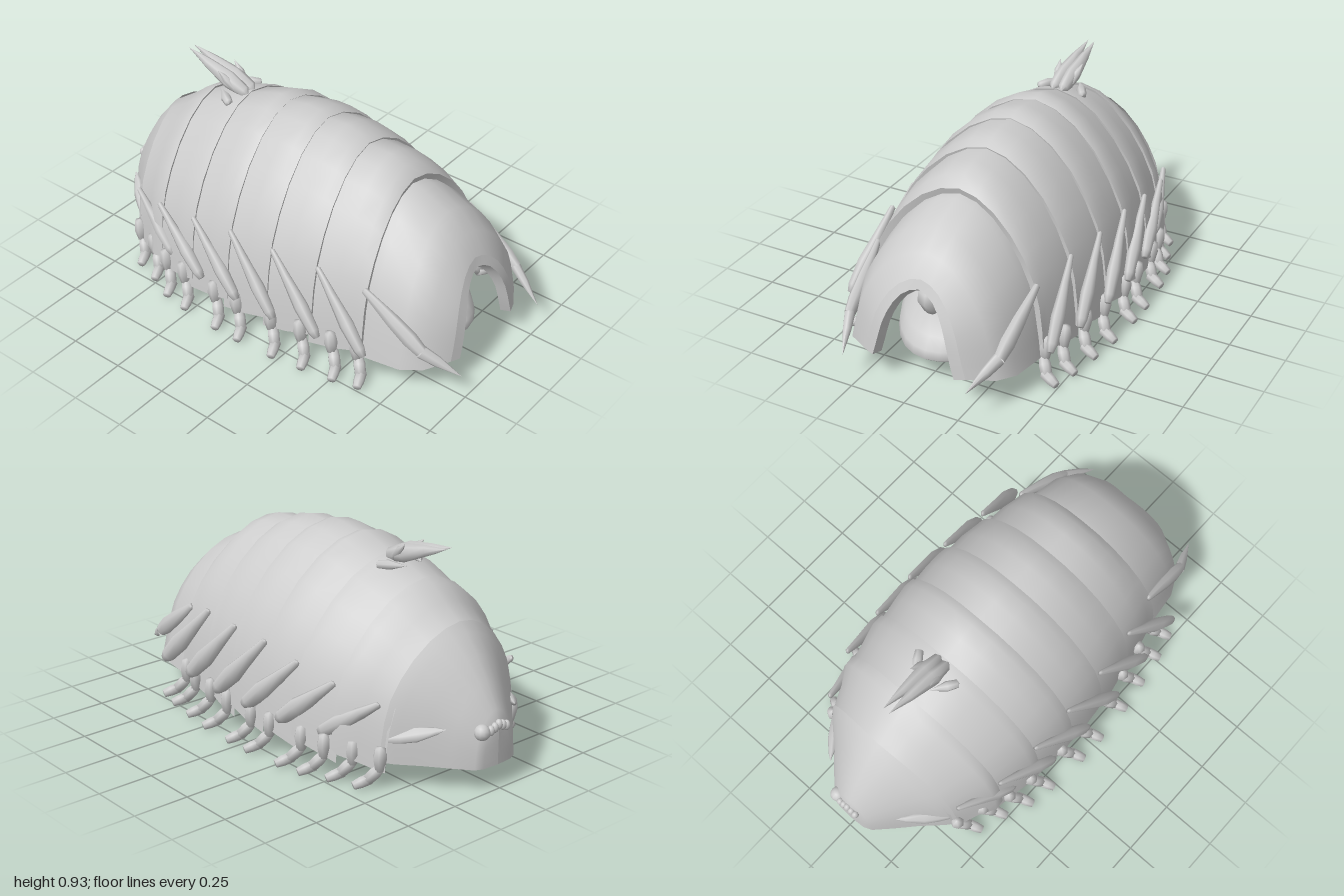
import * as THREE from 'three';

const grey = new THREE.MeshStandardMaterial({ color: 0xcccccc, side: THREE.DoubleSide });
grey.name = 'shell grey';

// Half cross-section of the arched shell: [share of width, share of height]
const ARCH = [[0, 1], [0.2, 0.972], [0.4, 0.9], [0.6, 0.78], [0.76, 0.64], [0.88, 0.49], [0.95, 0.32], [0.985, 0.15], [1, 0]];
const PROFILE = [...ARCH.slice(1).reverse().map(([x, y]) => [-x, y]), ...ARCH];

// One arched ring; the sides lean further forward than the crown, point sharpens the arch
function ring(z, w, h, yb, lean = 0.055, point = 0) {
  return PROFILE.map(([x, y]) => [
    x * w * (1 - point * y * (1 - y)), yb + y * (h - yb), z + lean * Math.abs(x) ** 1.5,
  ]);
}

function loft(rings) {
  const n = rings[0].length, index = [];
  for (let i = 0; i < rings.length - 1; i++) {
    for (let j = 0; j < n - 1; j++) {
      const a = i * n + j, b = a + n;
      index.push(a, a + 1, b, b, a + 1, b + 1);
    }
  }
  const geo = new THREE.BufferGeometry();
  geo.setAttribute('position', new THREE.Float32BufferAttribute(rings.flat(2), 3));
  geo.setIndex(index);
  geo.computeVertexNormals();
  return geo;
}

function add(parent, name, geo) {
  const mesh = new THREE.Mesh(geo, grey);
  mesh.name = name;
  parent.add(mesh);
  return mesh;
}

// Tapered limb from a to b; profile is [radius, share of length] pairs
function limb(parent, name, a, b, profile, flat = 1) {
  const from = new THREE.Vector3(...a), dir = new THREE.Vector3(...b).sub(from);
  const len = dir.length();
  const geo = new THREE.LatheGeometry(profile.map(([r, t]) => new THREE.Vector2(r, t * len)), 7);
  geo.scale(flat, 1, 1);
  const mesh = add(parent, name, geo);
  mesh.position.copy(from);
  mesh.quaternion.setFromUnitVectors(new THREE.Vector3(0, 1, 0), dir.normalize());
}

function ball(parent, name, p, r) {
  const mesh = add(parent, name, new THREE.SphereGeometry(1, 12, 8));
  mesh.position.set(...p);
  mesh.scale.set(...r);
}

export function createModel() {
  const model = new THREE.Group();
  model.name = 'armouredBug';

  // Front hood with a pointed opening, bevelled edge and thick rim
  const bevel = ring(0.845, 0.235, 0.5, 0.135, 0.065, 0.4);
  const hoodEdge = ring(0.86, 0.19, 0.46, 0.13, 0.065, 0.5);
  add(model, 'frontHood', loft([
    ring(0.5, 0.4, 0.73, 0.09, 0.055, 0.12), ring(0.56, 0.4, 0.725, 0.1, 0.055, 0.15),
    ring(0.7, 0.385, 0.665, 0.11, 0.055, 0.2), ring(0.79, 0.34, 0.59, 0.125, 0.055, 0.28), bevel,
  ]));
  add(model, 'hoodBevel', loft([bevel, hoodEdge]));
  add(model, 'hoodRim', loft([hoodEdge, ring(0.82, 0.172, 0.435, 0.13, 0.065, 0.5)]));

  // Overlapping bands: front z, back z, heights front / shoulder / back, widths front / back
  const bands = [
    [0.53, 0.28, 0.755, 0.8, 0.83, 0.415, 0.45],
    [0.3, 0.06, 0.835, 0.86, 0.868, 0.46, 0.485],
    [0.085, -0.15, 0.872, 0.892, 0.866, 0.49, 0.495],
    [-0.125, -0.36, 0.872, 0.887, 0.82, 0.5, 0.485],
    [-0.335, -0.57, 0.835, 0.828, 0.755, 0.49, 0.45],
    [-0.545, -0.77, 0.775, 0.758, 0.62, 0.455, 0.365],
  ];
  for (const [z0, z1, h0, h1, h2, w0, w1] of bands) {
    const edge = ring(z0, w0, h0, 0.13);
    add(model, 'shellBand', loft([
      edge, ring(z0 - 0.045, w0 + 0.004, h1, 0.12),
      ring((z0 + z1) / 2, (w0 + w1) / 2 + 0.005, (h1 + h2) / 2 + 0.012, 0.1), ring(z1, w1, h2, 0.075),
    ]));
    add(model, 'bandLip', loft([edge, ring(z0 - 0.01, w0 - 0.03, h0 - 0.035, 0.13)]));
  }

  // Tapering rear cap
  add(model, 'rearCap', loft([
    ring(-0.75, 0.375, 0.645, 0.12), ring(-0.79, 0.335, 0.605, 0.115, 0.05),
    ring(-0.85, 0.255, 0.53, 0.11, 0.035), ring(-0.91, 0.18, 0.435, 0.105, 0.015),
    ring(-0.965, 0.11, 0.335, 0.1, 0), ring(-0.98, 0.075, 0.28, 0.1, 0), ring(-0.985, 0, 0.27, 0.1, 0),
  ]));

  // Soft underbody with a shallow oval belly
  const belly = [[0, 0.088], [0.5, 0.09], [0.85, 0.094], [0.98, 0.1], [1, 0.115], [0.99, 0.15], [0.95, 0.2], [0.86, 0.25], [0.65, 0.285], [0, 0.295]];
  const body = add(model, 'underbody', new THREE.LatheGeometry(belly.map((p) => new THREE.Vector2(...p)), 40));
  body.scale.set(0.385, 1, 0.9);
  body.position.z = -0.065;

  // Single bulb face sheltered under the hood
  limb(model, 'faceBulb', [0, 0.285, 0.76], [0, 0.43, 0.76],
    [[0, 0], [0.035, 0.18], [0.06, 0.5], [0.055, 0.8], [0.03, 0.96], [0, 1]]);

  const spike = [[0, 0], [0.015, 0.02], [0.026, 0.3], [0.042, 0.65], [0.033, 0.92], [0.02, 1], [0, 1]];
  const fang = [[0, 0], [0.018, 0.03], [0.03, 0.3], [0.034, 0.55], [0.016, 0.85], [0, 1]];

  // Side spikes: top x, y, z then tip x, y, z
  const spikes = [
    [0.425, 0.48, 0.36, 0.475, 0.18, 0.64], [0.45, 0.48, 0.14, 0.5, 0.18, 0.42],
    [0.46, 0.48, -0.08, 0.52, 0.18, 0.2], [0.46, 0.45, -0.29, 0.52, 0.18, 0],
    [0.445, 0.42, -0.5, 0.505, 0.18, -0.21], [0.375, 0.37, -0.69, 0.455, 0.18, -0.42],
  ];
  // Legs: foot z and outer reach
  const legs = [[0.645, 0.5], [0.535, 0.53], [0.39, 0.555], [0.245, 0.575], [0.065, 0.585],
    [-0.06, 0.585], [-0.25, 0.57], [-0.37, 0.55], [-0.49, 0.5], [-0.61, 0.46]];

  for (const s of [1, -1]) {
    for (const [ax, ay, az, bx, by, bz] of spikes) {
      limb(model, 'sideSpike', [s * ax, ay, az], [s * bx, by, bz], spike, 0.7);
    }
    // Long hooked front spike in two pieces
    limb(model, 'frontSpike', [s * 0.375, 0.43, 0.56], [s * 0.35, 0.23, 0.84],
      [[0, 0], [0.016, 0.02], [0.034, 0.5], [0.039, 0.8], [0.03, 1]], 0.75);
    limb(model, 'frontSpikeTip', [s * 0.35, 0.23, 0.84], [s * 0.285, 0.14, 1],
      [[0.03, 0], [0.024, 0.4], [0, 1]], 0.75);

    // Each leg: thigh, shin and a blunt toe turned outward
    for (const [z, x] of legs) {
      limb(model, 'legThigh', [s * (x - 0.085), 0.19, z - 0.09], [s * (x - 0.09), 0.07, z - 0.08],
        [[0, 0], [0.022, 0.05], [0.03, 0.45], [0.02, 0.9], [0, 1]]);
      limb(model, 'legShin', [s * (x - 0.1), 0.1, z - 0.085], [s * (x - 0.06), 0.036, z - 0.042],
        [[0, 0], [0.018, 0.03], [0.026, 0.5], [0.024, 1], [0, 1]]);
      limb(model, 'legToe', [s * (x - 0.075), 0.04, z - 0.046], [s * (x - 0.004), 0.018, z - 0.018],
        [[0, 0], [0.024, 0.05], [0.023, 0.6], [0.018, 1], [0, 1]]);
    }

    // Paired crest blades with a short spur and a small lobe beside each
    limb(model, 'crestBlade', [s * 0.022, 0.825, -0.335], [s * 0.016, 0.932, -0.68],
      [[0, 0], [0.028, 0.06], [0.042, 0.32], [0.024, 0.68], [0, 1]], 0.85);
    limb(model, 'crestSpur', [s * 0.03, 0.82, -0.38], [s * 0.055, 0.91, -0.48],
      [[0, 0], [0.014, 0.1], [0.018, 0.6], [0, 1]]);
    limb(model, 'crestLobe', [s * 0.11, 0.81, -0.37], [s * 0.04, 0.815, -0.48],
      [[0, 0], [0.018, 0.05], [0.022, 0.4], [0, 1]]);

    // Small rear barbs
    limb(model, 'rearBarb', [s * 0.36, 0.21, -0.68], [s * 0.195, 0.275, -0.885], fang, 0.6);
  }

  // Rear nub and the small cluster of beads at the tail
  ball(model, 'rearNub', [0.075, 0.255, -0.965], [0.034, 0.034, 0.034]);
  for (let i = -2; i <= 2; i++) {
    ball(model, 'rearBead', [i * 0.022, 0.275 - Math.abs(i) * 0.008, -0.982], [0.016, 0.022, 0.017]);
  }
  return model;
}
